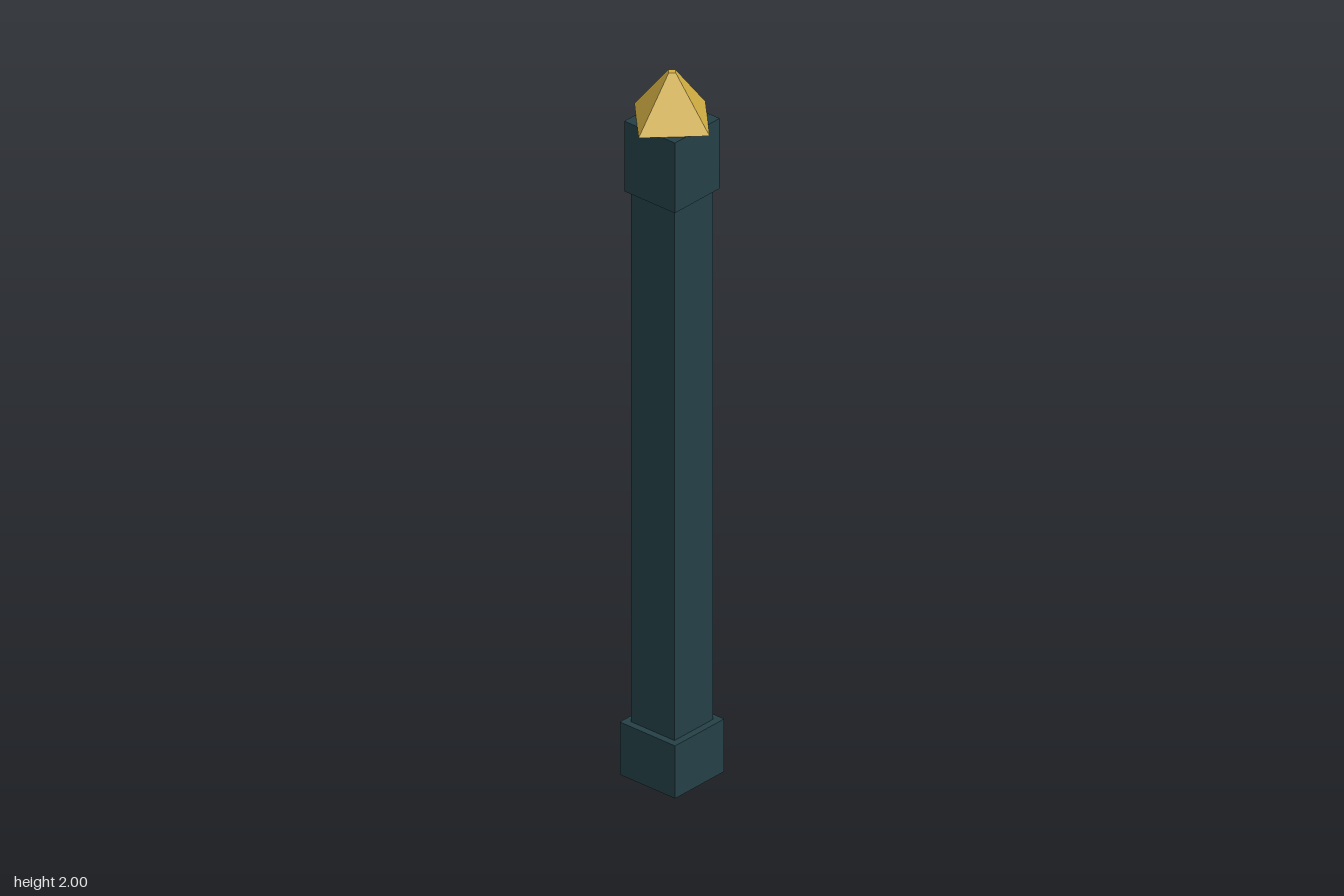
import * as THREE from 'three';

export function createModel() {
  const model = new THREE.Group();
  model.name = 'post';

  const teal = new THREE.MeshStandardMaterial({ color: 0x243f46 });
  teal.name = 'dark teal';
  const gold = new THREE.MeshStandardMaterial({ color: 0xd2ae43 });
  gold.name = 'gold';
  gold.flatShading = true;

  const add = (name, geometry, material, bottom, height) => {
    const mesh = new THREE.Mesh(geometry, material);
    mesh.name = name;
    mesh.position.y = bottom + height / 2;
    model.add(mesh);
  };
  const block = (name, width, bottom, top) =>
    add(name, new THREE.BoxGeometry(width, top - bottom, width), teal, bottom, top - bottom);

  // Square post: plinth, shaft and capital
  block('base', 0.184, 0, 0.15);
  block('shaft', 0.145, 0.15, 1.662);
  block('capital', 0.168, 1.662, 1.862);

  // Four-sided finial, turned so its corners overhang the capital's sides
  add('finial', new THREE.CylinderGeometry(0.0125, 0.125, 0.138, 4), gold, 1.862, 0.138);

  return model;
}
